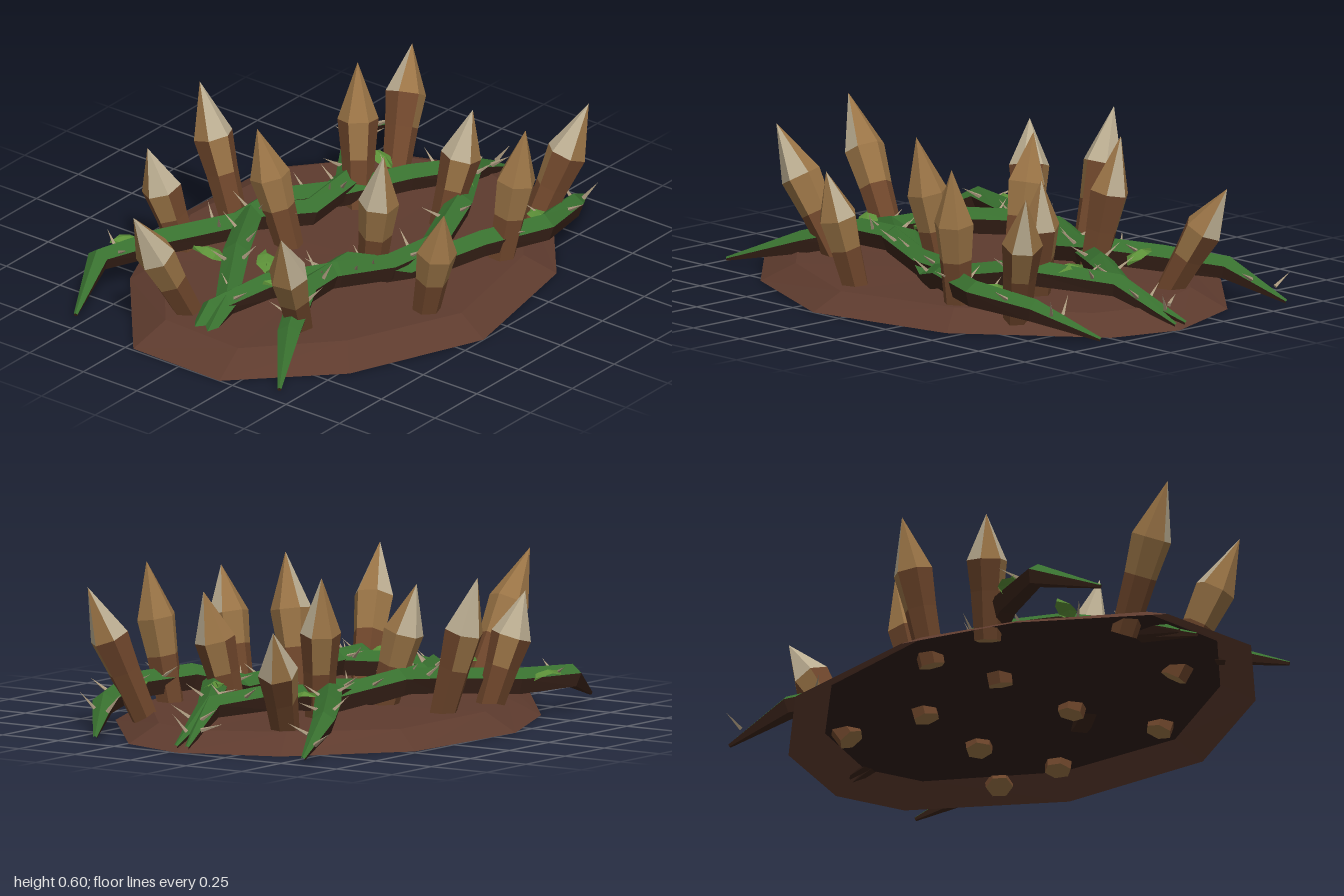
import * as THREE from 'three';

const V = (x, y, z) => new THREE.Vector3(x, y, z);
const paint = (name, color, side = THREE.FrontSide) => {
  const m = new THREE.MeshStandardMaterial({ color, side });
  m.name = name;
  return m;
};

// Small seeded generator for irregular facets
function seeded(seed) {
  return () => {
    seed = (seed * 16807) % 2147483647;
    return seed / 2147483647;
  };
}

// Faceted skin over a row of rings; pick(row, side) gives the material index
function loft(rings, materials, pick, capStart = -1) {
  const buckets = materials.map(() => []);
  const n = rings[0].length;
  const add = (slot, ...pts) => pts.forEach((p) => buckets[slot].push(p.x, p.y, p.z));
  for (let r = 0; r < rings.length - 1; r++) {
    for (let k = 0; k < n; k++) {
      const j = (k + 1) % n, slot = pick(r, k);
      const a = rings[r][k], b = rings[r][j], c = rings[r + 1][j], d = rings[r + 1][k];
      if (a.distanceTo(b) > 1e-5) add(slot, a, b, c);
      if (c.distanceTo(d) > 1e-5) add(slot, a, c, d);
    }
  }
  if (capStart >= 0) {
    const mid = V(0, 0, 0);
    rings[0].forEach((p) => mid.addScaledVector(p, 1 / n));
    for (let k = 0; k < n; k++) add(capStart, mid, rings[0][(k + 1) % n], rings[0][k]);
  }
  const geo = new THREE.BufferGeometry();
  let start = 0;
  buckets.forEach((b, i) => {
    if (b.length) geo.addGroup(start, b.length / 3, i);
    start += b.length / 3;
  });
  geo.setAttribute('position', new THREE.Float32BufferAttribute(buckets.flat(), 3));
  geo.computeVertexNormals();
  return new THREE.Mesh(geo, materials);
}

// Ring of points around a centre, square to an axis, first point uppermost
function ring(center, axis, radius, sides, turn = Math.PI / 2) {
  const t = axis.clone().normalize();
  const up = Math.abs(t.y) > 0.8 ? V(0, 0, -1) : V(0, 1, 0);
  const u = up.clone().cross(t).normalize();
  const v = t.clone().cross(u);
  return Array.from({ length: sides }, (_, k) => {
    const a = turn + (k / sides) * Math.PI * 2;
    return center.clone().addScaledVector(u, radius * Math.cos(a)).addScaledVector(v, radius * Math.sin(a));
  });
}

export function createModel() {
  const model = new THREE.Group();
  const soil = paint('soil', 0x5e3b2e, THREE.DoubleSide);
  const underside = paint('dark earth', 0x2e1d17);
  const bark = paint('bark', 0x70472c);
  const wood = paint('cut wood', 0x9a7446);
  const pale = paint('pale point', 0xbcae92);
  const green = paint('vine green', 0x38702f);
  const vineDark = paint('vine underside', 0x3a2319);
  const leafGreen = paint('leaf green', 0x5c9038, THREE.DoubleSide);
  const thornColor = paint('thorn', 0xa8977c);
  const rnd = seeded(71);

  // Hollow earth mound
  const outline = [[1, -0.03], [0.86, -0.4], [0.47, -0.73], [-0.13, -0.76], [-0.55, -0.58], [-0.99, -0.22],
    [-1, 0.19], [-0.66, 0.53], [-0.14, 0.75], [0.45, 0.63], [0.92, 0.24]];
  const foot = outline.map(([x, z]) => V(x, 0, z));
  const brow = outline.map(([x, z], i) => V(x * 0.85, 0.065 + 0.006 * (i % 2), z * 0.84));
  const middle = outline.map(() => V(0, 0.068, 0));
  const mound = loft([foot, brow], [soil], () => 0);
  mound.name = 'moundSlope';
  const top = loft([brow, middle], [soil], () => 0);
  top.material = soil;
  top.geometry.clearGroups();
  top.name = 'moundTop';
  const lower = (p) => p.clone().add(V(0, -0.006, 0));
  const lining = loft([middle.map(lower), brow.map(lower)], [underside], () => 0);
  lining.name = 'moundUnderside';
  model.add(mound, top, lining);

  // Stakes: base x, z, tip x, y, z, and share of pale facets on the point
  const stakes = [
    [-0.32, -0.50, -0.42, 0.48, -0.60, 0.7], [-0.02, -0.50, -0.03, 0.58, -0.66, 0.8],
    [-0.07, -0.20, -0.11, 0.52, -0.33, 0.6], [0.33, -0.20, 0.42, 0.60, -0.275, 0.4],
    [0.65, -0.28, 0.88, 0.46, -0.38, 0.6], [-0.70, -0.17, -0.99, 0.54, -0.22, 0.3],
    [-0.55, 0.22, -0.80, 0.54, 0.32, 0.6], [-0.06, 0.16, -0.11, 0.59, 0.26, 0.6],
    [0.40, 0.13, 0.50, 0.52, 0.20, 0.4], [-0.17, 0.50, -0.21, 0.50, 0.62, 0.5],
    [0.33, 0.46, 0.38, 0.59, 0.54, 0.1], [0.58, 0.40, 0.77, 0.54, 0.53, 0.9],
  ];
  stakes.forEach(([bx, bz, tx, ty, tz, share]) => {
    const base = V(bx, 0.03, bz), tip = V(tx, ty, tz);
    const axis = tip.clone().sub(base), turn = rnd() * 2;
    const at = (f, r) => ring(base.clone().addScaledVector(axis, f), axis, r, 6, turn);
    const banded = rnd() > 0.45;
    const point = Array.from({ length: 6 }, () => (rnd() < share ? 2 : 1));
    const stake = loft([at(0, 0.05), at(0.38, 0.062), at(0.63, 0.076), at(1, 0)], [bark, wood, pale],
      (row, k) => (row === 2 ? point[k] : row === 1 && (banded || k % 3 === 0) ? 1 : 0), 1);
    stake.name = 'stake';
    model.add(stake);
  });

  // Thorn: a slim spike rooted on a vine
  const thornGeo = new THREE.ConeGeometry(0.009, 0.085, 4).translate(0, 0.0425, 0).toNonIndexed();
  thornGeo.computeVertexNormals();
  const addThorn = (pos, dir) => {
    const thorn = new THREE.Mesh(thornGeo, thornColor);
    thorn.name = 'thorn';
    thorn.position.copy(pos);
    thorn.quaternion.setFromUnitVectors(V(0, 1, 0), dir.normalize());
    model.add(thorn);
  };

  // Vines: bent five-sided stems, dark below, with thorns at the bends
  const vines = [
    [[-0.95, 0.03, -0.52], [-0.70, 0.13, -0.61], [-0.46, 0.13, -0.53], [-0.20, 0.15, -0.36], [0.02, 0.17, -0.34],
      [0.28, 0.13, -0.24], [0.50, 0.15, -0.10], [0.72, 0.13, 0.01], [0.99, 0.02, -0.07]],
    [[-0.90, 0.02, 0.01], [-0.65, 0.10, -0.05], [-0.40, 0.16, -0.20], [-0.15, 0.17, -0.33], [0.08, 0.13, -0.24],
      [0.32, 0.16, -0.24], [0.53, 0.14, -0.38], [0.74, 0.12, -0.51], [0.98, 0.02, -0.585]],
    [[-0.88, 0.02, -0.06], [-0.70, 0.09, -0.08], [-0.50, 0.14, 0.02], [-0.30, 0.16, 0.19], [-0.08, 0.12, 0.25],
      [0.18, 0.11, 0.27], [0.42, 0.16, 0.20], [0.72, 0.13, 0.02], [0.99, 0.02, -0.02]],
    [[-0.95, 0.02, 0.43], [-0.70, 0.10, 0.28], [-0.48, 0.16, 0.18], [-0.22, 0.16, 0.17], [0.00, 0.08, 0.28],
      [0.24, 0.15, 0.44], [0.50, 0.14, 0.53], [0.75, 0.11, 0.47], [0.98, 0.02, 0.35]],
  ];
  vines.forEach((path) => {
    const pts = path.map((p) => V(...p)), last = pts.length - 1;
    const rings = pts.map((p, i) => {
      const axis = pts[Math.min(i + 1, last)].clone().sub(pts[Math.max(i - 1, 0)]);
      return ring(p, axis, i === 0 || i === last ? 0.008 : i === 1 || i === last - 1 ? 0.045 : 0.052, 5);
    });
    const vine = loft(rings, [green, vineDark], (row, k) => (k === 0 || k === 4 ? 0 : 1), 1);
    vine.name = 'vine';
    model.add(vine);
    for (let i = 1; i < last; i++) {
      const along = pts[i + 1].clone().sub(pts[i]);
      const side = V(-along.z, 0, along.x).normalize();
      [-1, 1].forEach((s) => {
        const pos = pts[i].clone().addScaledVector(along, 0.2 + rnd() * 0.6).addScaledVector(side, s * 0.025);
        pos.y += 0.02;
        addThorn(pos, side.clone().multiplyScalar(s).add(V(rnd() - 0.5, 0.4 + rnd() * 0.7, rnd() - 0.5)));
      });
    }
  });

  // Leaves: folded pointed blades; x, y, z and heading
  const leafRow = (x, w, y) => [V(x, y, -w), V(x, y + 0.015, 0), V(x, y, w)];
  const rows = [leafRow(-0.06, 0, 0), leafRow(-0.02, 0.038, 0.012), leafRow(0.025, 0.032, 0.01), leafRow(0.07, 0, -0.01)];
  const leafPts = [];
  for (let r = 0; r < 3; r++) {
    for (let k = 0; k < 2; k++) {
      const a = rows[r][k], b = rows[r][k + 1], c = rows[r + 1][k + 1], d = rows[r + 1][k];
      [a, b, c, a, c, d].forEach((p) => leafPts.push(p.x, p.y, p.z));
    }
  }
  const leafGeo = new THREE.BufferGeometry();
  leafGeo.setAttribute('position', new THREE.Float32BufferAttribute(leafPts, 3));
  leafGeo.computeVertexNormals();
  [[-0.48, 0.17, -0.26, 1.9], [-0.39, 0.16, -0.07, 0.7], [-0.53, 0.18, 0.11, 2.4], [0.53, 0.16, -0.26, 1.6],
    [0.54, 0.17, 0.12, 0.8], [-0.54, 0.14, -0.60, 2.6], [0.53, 0.15, 0.48, 4.2]].forEach(([x, y, z, heading]) => {
    const leaf = new THREE.Mesh(leafGeo, leafGreen);
    leaf.name = 'leaf';
    leaf.position.set(x, y, z);
    leaf.rotation.set(0.15, heading, 0.2);
    model.add(leaf);
  });

  return model;
}
